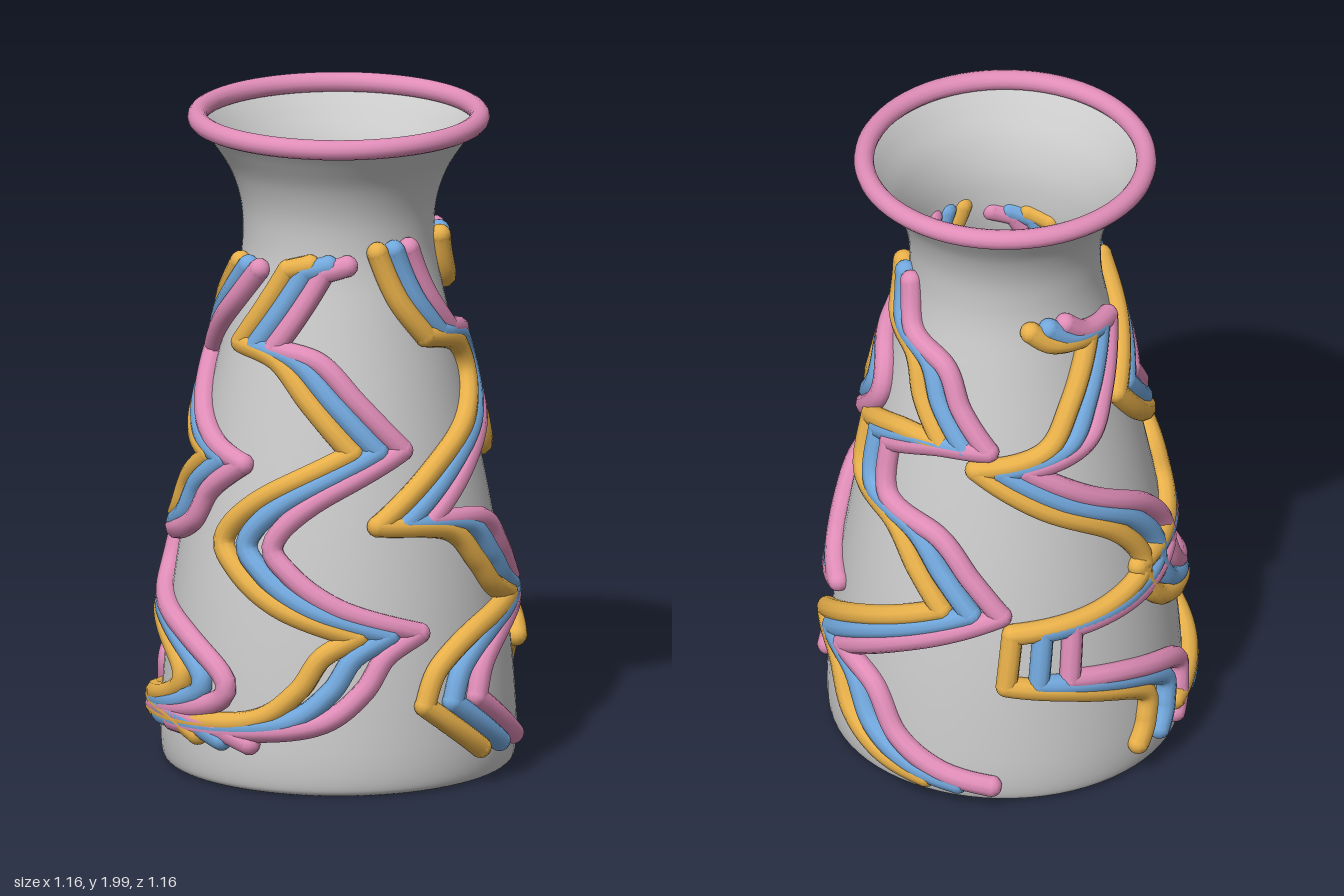
import * as THREE from 'three';
import { mergeGeometries } from 'three/addons/utils/BufferGeometryUtils.js';

const V2 = (p) => new THREE.Vector2(p[0], p[1]);
const mat = (color) => new THREE.MeshStandardMaterial({ color, side: THREE.DoubleSide });

// Vase wall as [radius, height], from the foot to the lip
const wall = new THREE.SplineCurve([
  [0.5, 0.012], [0.522, 0.03], [0.53, 0.1], [0.525, 0.22], [0.51, 0.4], [0.485, 0.6], [0.452, 0.8],
  [0.412, 1.0], [0.368, 1.2], [0.322, 1.4], [0.292, 1.54], [0.285, 1.64], [0.294, 1.73],
  [0.325, 1.82], [0.375, 1.9], [0.42, 1.96],
].map(V2)).getPoints(120);

// Wall radius at a given height
function radiusAt(y) {
  const i = Math.max(1, wall.findIndex((p) => p.y >= y));
  const a = wall[i - 1], b = wall[i];
  return THREE.MathUtils.lerp(a.x, b.x, THREE.MathUtils.clamp((y - a.y) / (b.y - a.y), 0, 1));
}

// Point just outside the wall at an angle (degrees from the front) and height
function onWall(deg, y) {
  const t = THREE.MathUtils.degToRad(deg), r = radiusAt(y) + 0.016;
  return new THREE.Vector3(r * Math.sin(t), y, r * Math.cos(t));
}

// Zigzag bands: each is a list of smooth runs of [angle, height], meeting at sharp corners
const bands = {
  frontBand: [
    [[24, 1.585], [11, 1.565]],
    [[11, 1.565], [-2, 1.44], [-14, 1.33]],
    [[-14, 1.33], [10, 1.3], [28, 1.18], [46, 1.04]],
    [[46, 1.04], [11, 0.9], [-5, 0.77], [2, 0.68], [20, 0.58], [47, 0.5]],
    [[47, 0.5], [35, 0.44], [27, 0.335], [13, 0.24], [-13, 0.2], [-45, 0.18]],
  ],
  leftBand: [
    [[-31, 1.55], [-48, 1.44], [-66, 1.34], [-80, 1.25]],
    [[-80, 1.25], [-63, 1.12], [-42, 1.03], [-22, 0.985]],
    [[-22, 0.985], [-38, 0.89], [-47, 0.78], [-66, 0.72], [-88, 0.7]],
    [[-88, 0.7], [-77, 0.55], [-40, 0.45], [-20, 0.34], [-30, 0.25], [-75, 0.17]],
    [[-75, 0.17], [-50, 0.2], [-25, 0.2], [-10, 0.165]],
  ],
  rightBand: [
    [[63, 1.62], [74, 1.47], [88, 1.355]],
    [[88, 1.355], [114, 1.31], [122, 1.21], [109, 1.1], [82, 0.98], [55, 0.825]],
    [[55, 0.825], [84, 0.79], [97, 0.68], [106, 0.59], [120, 0.535]],
    [[120, 0.535], [92, 0.48], [75, 0.39], [69, 0.28]],
    [[69, 0.28], [91, 0.125]],
  ],
  backRightBand: [
    [[128, 1.61], [138, 1.48], [164, 1.42], [175, 1.3], [189, 1.18]],
    [[189, 1.18], [165, 1.17], [139, 1.11]],
    [[139, 1.11], [144, 0.95], [170, 0.89], [184, 0.77], [195, 0.66]],
    [[195, 0.66], [160, 0.52], [131, 0.38]],
    [[131, 0.38], [149, 0.335], [160, 0.2], [175, 0.12], [192, 0.085]],
  ],
  backLeftBand: [
    [[232, 1.55], [245, 1.5], [268, 1.48]],
    [[268, 1.48], [250, 1.3], [235, 1.17], [205, 1.12]],
    [[205, 1.12], [231, 1.0], [262, 0.86], [275, 0.7], [255, 0.63], [220, 0.6]],
    [[220, 0.6], [218, 0.43]],
    [[218, 0.43], [242, 0.385], [267, 0.3], [268, 0.2], [264, 0.125]],
  ],
};

const strandRadius = 0.033;
const strands = [
  ['yellow', 0xe8b04a, -10.6], ['blue', 0x72a8dd, 0], ['pink', 0xe08db8, 10.6],
];

// One rounded strand following every run of a band, with balls at the joints and ends
function strandGeometry(runs, shift) {
  const parts = [];
  const ball = (p) => parts.push(
    new THREE.SphereGeometry(strandRadius, 12, 8).translate(p.x, p.y, p.z));
  runs.forEach((run, i) => {
    const flat = new THREE.SplineCurve(run.map(V2)).getPoints(run.length * 6);
    const pts = flat.map((p) => onWall(p.x + shift, p.y));
    const path = new THREE.CatmullRomCurve3(pts);
    parts.push(new THREE.TubeGeometry(path, run.length * 8, strandRadius, 10, false));
    if (i === 0) ball(pts[0]);
    ball(pts[pts.length - 1]);
  });
  return mergeGeometries(parts);
}

export function createModel() {
  const model = new THREE.Group();
  const add = (name, geometry, material, parent = model) => {
    const mesh = new THREE.Mesh(geometry, material);
    mesh.name = name;
    parent.add(mesh);
    return mesh;
  };

  // Open vase body and its flat floor
  add('vaseBody', new THREE.LatheGeometry(wall, 72), mat(0xcccccc));
  add('vaseFloor', new THREE.CircleGeometry(0.5, 72).rotateX(Math.PI / 2), mat(0xcccccc))
    .position.y = 0.012;

  // Rounded lip
  add('rim', new THREE.TorusGeometry(0.42, 0.03, 14, 72).rotateX(Math.PI / 2), mat(0xe08db8))
    .position.y = 1.97;

  // Three-strand bands wound over the wall
  const colours = strands.map(([, color]) => mat(color));
  for (const [name, runs] of Object.entries(bands)) {
    const band = new THREE.Group();
    band.name = name;
    strands.forEach(([label, , shift], i) =>
      add(`${label}Strand`, strandGeometry(runs, shift), colours[i], band));
    model.add(band);
  }
  return model;
}
